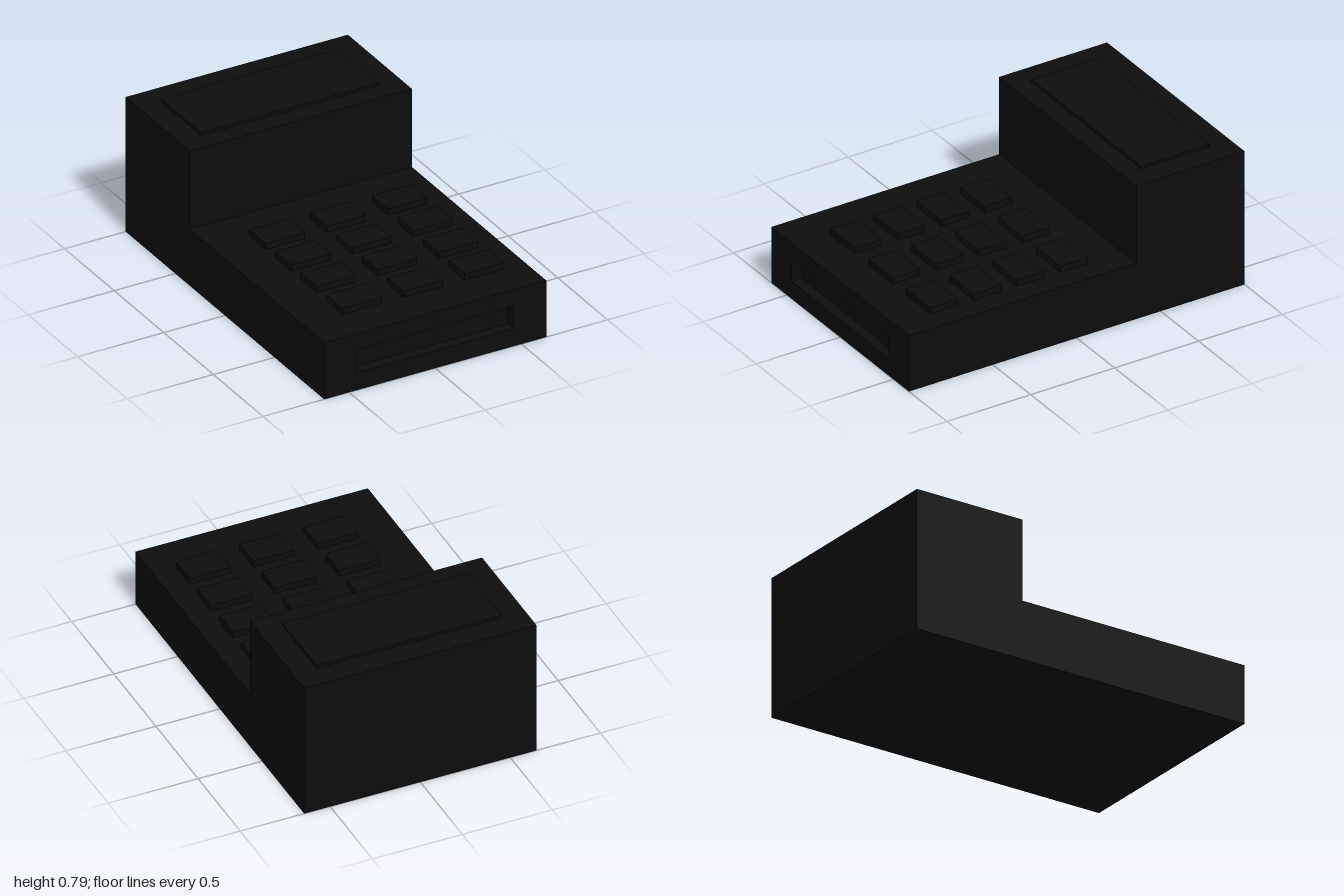
import * as THREE from 'three';

export function createModel() {
  const model = new THREE.Group();
  const black = new THREE.MeshStandardMaterial({ color: 0x0d0d0d });
  black.name = 'matte black';

  const add = (name, geometry, parent = model) => {
    const mesh = new THREE.Mesh(geometry, black);
    mesh.name = name;
    parent.add(mesh);
    return mesh;
  };
  const box = (name, x0, x1, y0, y1, z0, z1, parent) =>
    add(name, new THREE.BoxGeometry(x1 - x0, y1 - y0, z1 - z0), parent)
      .position.set((x0 + x1) / 2, (y0 + y1) / 2, (z0 + z1) / 2);

  const W = 0.645, deck = 0.325, top = 0.775, slotDepth = 0.06;

  // Stepped housing: side profile (z, y) extruded across the width
  const profile = new THREE.Shape([
    [-1, 0], [1 - slotDepth, 0], [1 - slotDepth, deck], [-0.355, deck], [-0.355, top], [-1, top],
  ].map(([z, y]) => new THREE.Vector2(-z, y)));
  const housing = new THREE.ExtrudeGeometry(profile, { depth: 2 * W, bevelEnabled: false });
  housing.translate(0, 0, -W).rotateY(Math.PI / 2);
  add('housing', housing);

  // Front panel with the recessed slot
  const rect = (Type, x, y0, y1) => new Type([
    new THREE.Vector2(-x, y0), new THREE.Vector2(x, y0),
    new THREE.Vector2(x, y1), new THREE.Vector2(-x, y1),
  ]);
  const panel = rect(THREE.Shape, W, 0, deck);
  panel.holes.push(rect(THREE.Path, 0.455, 0.1, 0.23));
  add('frontPanel', new THREE.ExtrudeGeometry(panel, { depth: slotDepth, bevelEnabled: false }))
    .position.z = 1 - slotDepth;

  // Raised plate on the rear block
  box('topPlate', -0.515, 0.515, top - 0.01, 0.792, -0.87, -0.465);

  // Keypad, three columns by four rows
  const keypad = new THREE.Group();
  keypad.name = 'keypad';
  model.add(keypad);
  for (let row = 0; row < 4; row++) {
    for (let col = 0; col < 3; col++) {
      const x = -0.305 + col * 0.355, z = -0.063 + row * 0.258;
      box('key', x - 0.114, x + 0.114, deck - 0.01, 0.361, z - 0.081, z + 0.081, keypad);
    }
  }
  return model;
}
